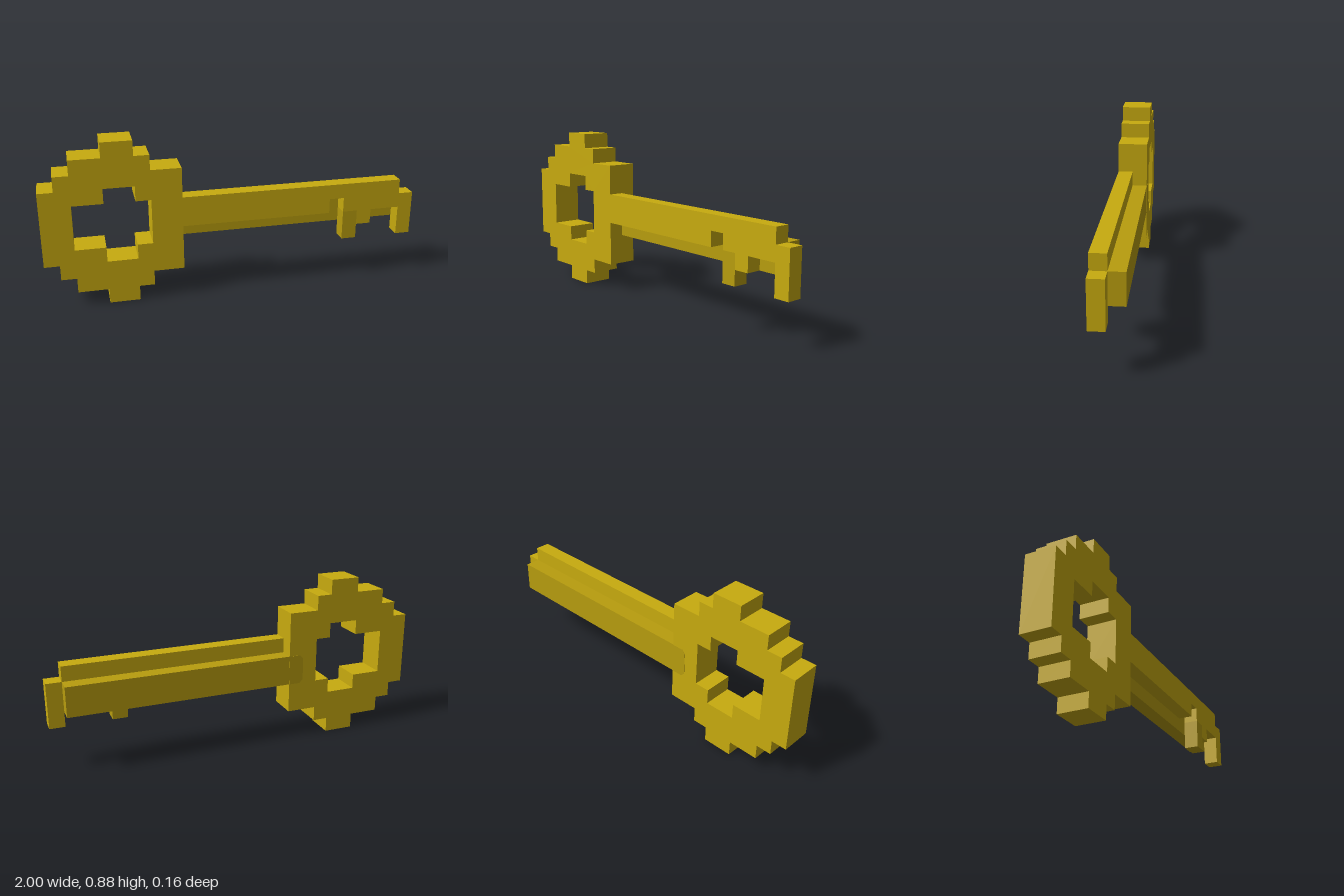
import * as THREE from 'three';

const gold = new THREE.MeshStandardMaterial({ color: 0xc8ab0f });
gold.name = 'gold';
const darkGold = new THREE.MeshStandardMaterial({ color: 0xb89d0e });
darkGold.name = 'dark gold';

const toPoints = (list) => list.map(([x, y]) => new THREE.Vector2(x, y));

// Extrudes a stepped outline between two z positions
function slab(name, outline, z0, z1, material, hole) {
  const shape = new THREE.Shape(toPoints(outline));
  if (hole) shape.holes.push(new THREE.Path(toPoints(hole)));
  const geometry = new THREE.ExtrudeGeometry(shape, { depth: z1 - z0, bevelEnabled: false });
  geometry.translate(0, 0, z0);
  const mesh = new THREE.Mesh(geometry, material);
  mesh.name = name;
  return mesh;
}

// Box given by its minimum and maximum corners
function block(name, [x0, y0, z0], [x1, y1, z1], material) {
  const geometry = new THREE.BoxGeometry(x1 - x0, y1 - y0, z1 - z0);
  geometry.translate((x0 + x1) / 2, (y0 + y1) / 2, (z0 + z1) / 2);
  const mesh = new THREE.Mesh(geometry, material);
  mesh.name = name;
  return mesh;
}

// Completes a lower stepped edge by mirroring it about the bow's centre line
const mirrorUp = (lower) => [...lower, ...lower.map(([x, y]) => [x, 0.88 - y]).reverse()];

export function createModel() {
  const key = new THREE.Group();
  key.name = 'key';

  // Ring-shaped handle with a stepped hole
  const bowOutline = mirrorUp([
    [-1, 0.24], [-0.92, 0.24], [-0.92, 0.16], [-0.84, 0.16], [-0.84, 0.08], [-0.68, 0.08],
    [-0.68, 0], [-0.52, 0], [-0.52, 0.08], [-0.44, 0.08], [-0.44, 0.16], [-0.28, 0.16],
  ]);
  const bowHole = mirrorUp([
    [-0.84, 0.32], [-0.68, 0.32], [-0.68, 0.24], [-0.52, 0.24], [-0.52, 0.32], [-0.44, 0.32],
  ]);
  key.add(slab('bow', bowOutline, -0.08, 0.08, gold, bowHole));

  // Front half of the shaft, with notch, step and end tooth
  key.add(slab('frontShaft', [
    [-0.28, 0.4], [0.52, 0.4], [0.52, 0.48], [0.6, 0.48], [0.6, 0.4], [0.68, 0.4],
    [0.68, 0.32], [0.76, 0.32], [0.76, 0.4], [0.92, 0.4], [0.92, 0.24], [1, 0.24],
    [1, 0.48], [0.92, 0.48], [0.92, 0.56], [-0.28, 0.56],
  ], 0, 0.08, gold));
  key.add(block('middleTooth', [0.6, 0.24, 0], [0.68, 0.4, 0.08], darkGold));

  // Back half of the shaft, set lower, with its inlaid root on the bow
  key.add(block('backShaft', [-0.28, 0.32, -0.08], [0.92, 0.48, 0], darkGold));
  key.add(slab('shaftRoot', [
    [-0.28, 0.32], [-0.28, 0.48], [-0.34, 0.48], [-0.36, 0.46], [-0.36, 0.34], [-0.34, 0.32],
  ], -0.082, -0.079, darkGold));

  return key;
}
